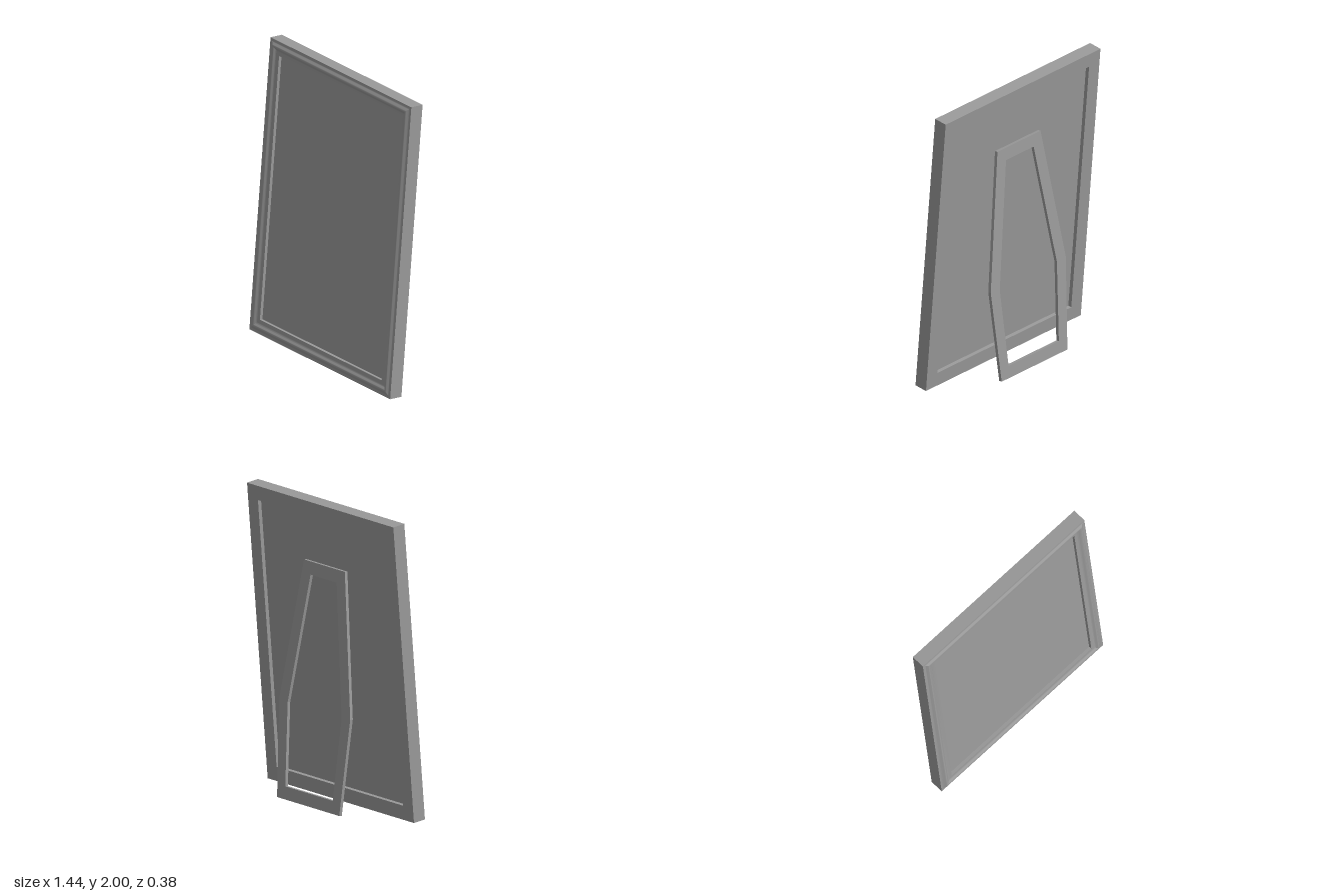
import * as THREE from 'three';
import { toCreasedNormals } from 'three/addons/utils/BufferGeometryUtils.js';

const TILT = THREE.MathUtils.degToRad(5);
const HALF_W = 0.718, HEIGHT = 2, DEPTH = 0.093, BORDER = 0.097;

// Sweeps a closed [inset, z] profile around a rectangle with mitred corners.
function mitredFrame(profile) {
  const positions = [], indices = [], n = profile.length;
  for (const [d, z] of profile) {
    const x = HALF_W - d, top = HEIGHT - d;
    positions.push(x, d, z, x, top, z, -x, top, z, -x, d, z);
  }
  for (let i = 0; i < n; i++) {
    const j = (i + 1) % n;
    for (let k = 0; k < 4; k++) {
      const m = (k + 1) % 4;
      const a = i * 4 + k, b = i * 4 + m, c = j * 4 + m, e = j * 4 + k;
      indices.push(a, b, c, a, c, e);
    }
  }
  const geometry = new THREE.BufferGeometry();
  geometry.setAttribute('position', new THREE.Float32BufferAttribute(positions, 3));
  geometry.setIndex(indices);
  return toCreasedNormals(geometry, 0.5);
}

// Mirrors the right half of an outline, listed from bottom to top.
function mirrored(half) {
  const left = half.map(([x, y]) => [-x, y]).reverse();
  return [...half, ...left].map(([x, y]) => new THREE.Vector2(x, y));
}

export function createModel() {
  const model = new THREE.Group();
  model.name = 'pictureFrame';
  const material = new THREE.MeshStandardMaterial({ color: 0x999999 });

  const tilted = new THREE.Group();
  tilted.name = 'tiltedFrame';
  tilted.position.set(0, 0, 0.087);
  tilted.rotation.x = -TILT;
  model.add(tilted);

  // Border: flat outer edge, soft bead blending into a flat inner lip
  const profile = [[0, 0], [0, DEPTH]];
  const steps = 14;
  for (let i = 0; i <= steps; i++) {
    const t = i / steps;
    profile.push([0.014 + 0.058 * t, DEPTH + 0.013 * Math.sin(Math.PI * t) ** 2]);
  }
  profile.push([BORDER, DEPTH], [BORDER, 0]);
  const border = new THREE.Mesh(mitredFrame(profile), material);
  border.name = 'frameBorder';
  tilted.add(border);

  // Panel recessed from both faces of the border
  const panel = new THREE.Mesh(
    new THREE.BoxGeometry(2 * (HALF_W - BORDER), HEIGHT - 2 * BORDER, 0.046), material);
  panel.name = 'picturePanel';
  panel.position.set(0, HEIGHT / 2, 0.049);
  tilted.add(panel);

  // Open six-sided easel leg leaning against the back
  const outline = new THREE.Shape(mirrored([[0.305, 0], [0.348, 0.64], [0.2, 1.58]]));
  outline.holes.push(new THREE.Path(mirrored([[0.233, 0.085], [0.265, 0.63], [0.128, 1.495]])));
  const leg = new THREE.Mesh(
    new THREE.ExtrudeGeometry(outline, { depth: 0.022, bevelEnabled: false }), material);
  leg.name = 'easelLeg';
  leg.position.set(0, 0.01, -0.189);
  leg.rotation.x = TILT;
  model.add(leg);

  return model;
}
